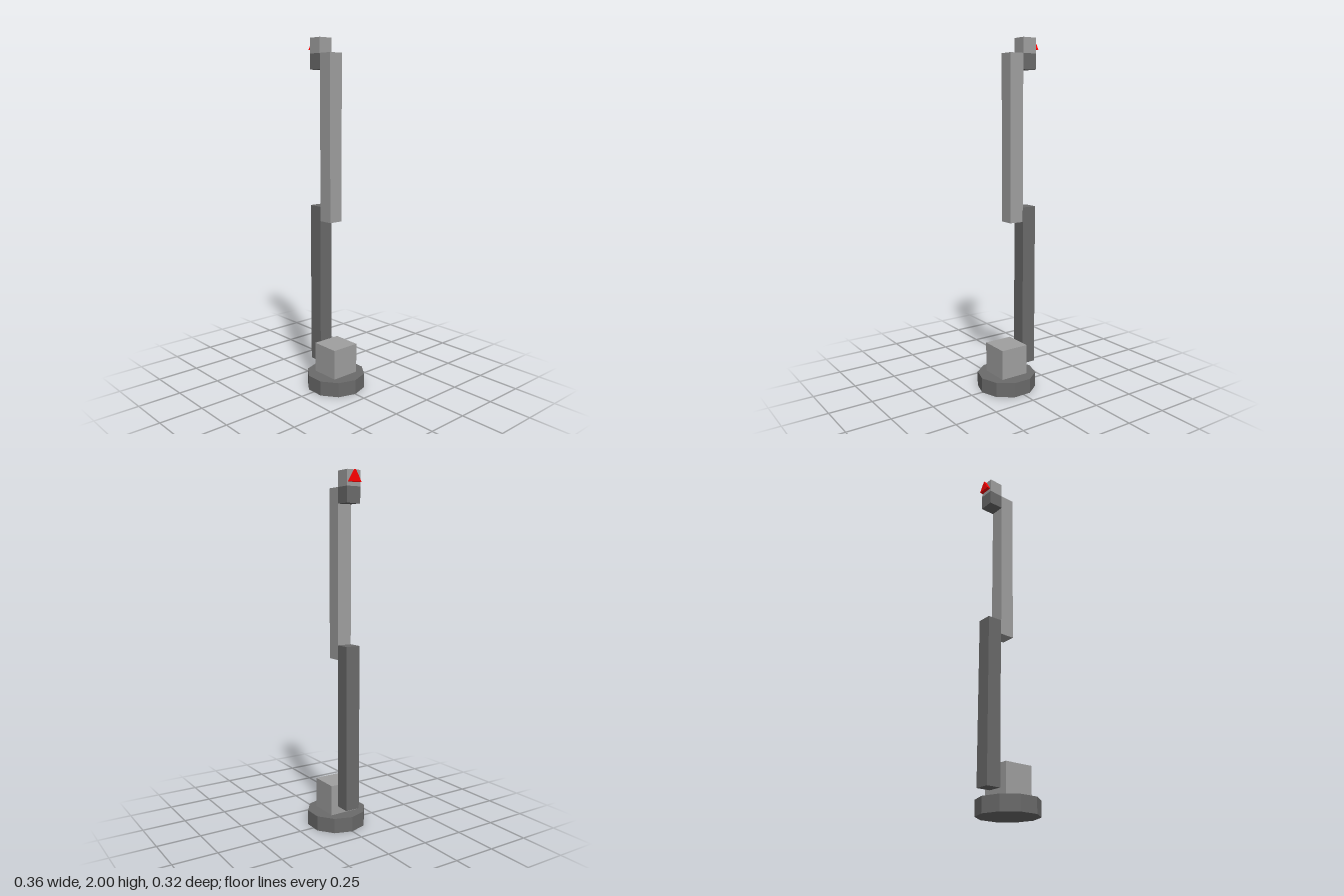
import * as THREE from 'three';

const paint = (color) => new THREE.MeshStandardMaterial({ color, flatShading: true });

export function createModel() {
  const model = new THREE.Group();
  model.name = 'roboticArm';
  const light = paint(0x9f9f9f);
  const dark = paint(0x6a6a6a);
  const red = paint(0xff0000);

  const T = 0.085;        // thickness of the arm links
  const INNER = -0.0315;  // x of the link above the base
  const OUTER = -0.1175;  // x of the links hung on the side

  function add(name, geometry, material, x, y) {
    const mesh = new THREE.Mesh(geometry, material);
    mesh.name = name;
    mesh.position.set(x, y, 0);
    model.add(mesh);
  }

  // Square block given by its bottom and top heights
  function block(name, material, x, width, bottom, top) {
    add(name, new THREE.BoxGeometry(width, top - bottom, width), material, x, (bottom + top) / 2);
  }

  // Ten-sided foot with a corner pointing along +x
  const foot = new THREE.CylinderGeometry(0.17, 0.17, T, 10);
  foot.rotateY(Math.PI / 2);
  add('base', foot, dark, 0.0095, T / 2);

  // Turret and the two long links, side by side
  block('turret', light, 0.0105, 0.17, T, 0.258);
  block('lowerArm', dark, -0.1185, T, 0.13, 1.063);
  block('upperArm', light, INNER, T, 0.98, 1.915);

  // Wrist and hand cubes
  block('wrist', dark, OUTER, T, 1.828, 1.915);
  block('hand', light, OUTER, T, 1.915, 2);

  // Three-sided tip on the side of the hand, one corner up
  const tip = new THREE.CylinderGeometry(0.0425, 0.0425, 0.021, 3);
  tip.rotateX(-Math.PI / 2).rotateY(-Math.PI / 2);
  add('tip', tip, red, -0.17, 1.9575);

  return model;
}
